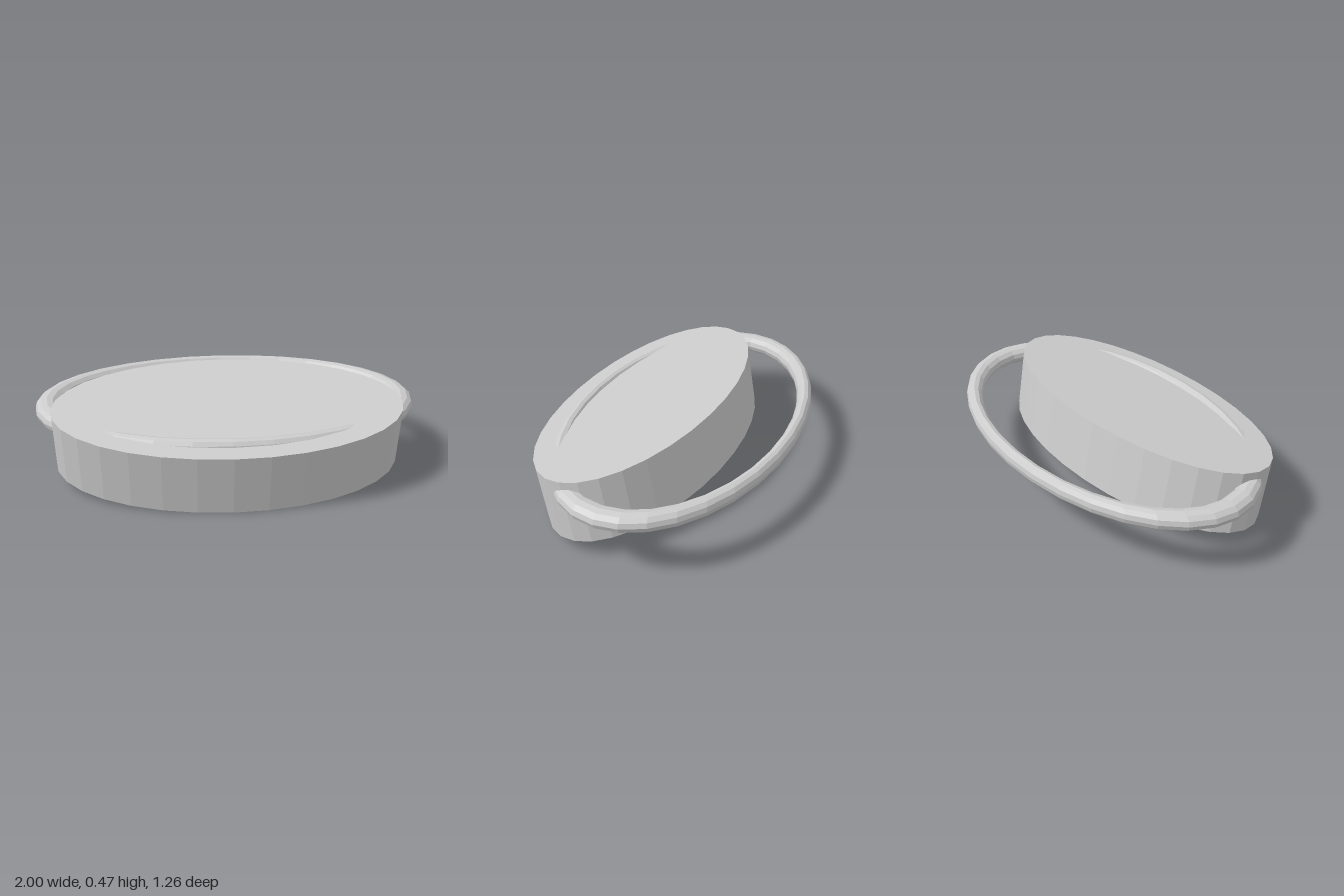
import * as THREE from 'three';

export function createModel() {
  const group = new THREE.Group();
  const grey = new THREE.MeshStandardMaterial({ color: 0xcccccc, flatShading: true });
  grey.name = 'light grey';

  // Oval drum, tipped towards the front
  const body = new THREE.Mesh(new THREE.CylinderGeometry(0.89, 0.89, 0.325, 32), grey);
  body.name = 'body';
  body.scale.z = 0.5;
  body.rotation.x = THREE.MathUtils.degToRad(10);
  body.position.set(0, 0.238, 0.165);
  group.add(body);

  // Level oval ring passing through the drum
  const tube = 0.0615;
  const ringGeometry = new THREE.TorusGeometry(1 - tube, tube, 12, 32);
  ringGeometry.rotateX(Math.PI / 2);
  ringGeometry.scale(1, 0.048 / tube, 0.588);
  const ring = new THREE.Mesh(ringGeometry, grey);
  ring.name = 'ring';
  ring.position.set(0, 0.318, -0.04);
  group.add(ring);

  return group;
}
